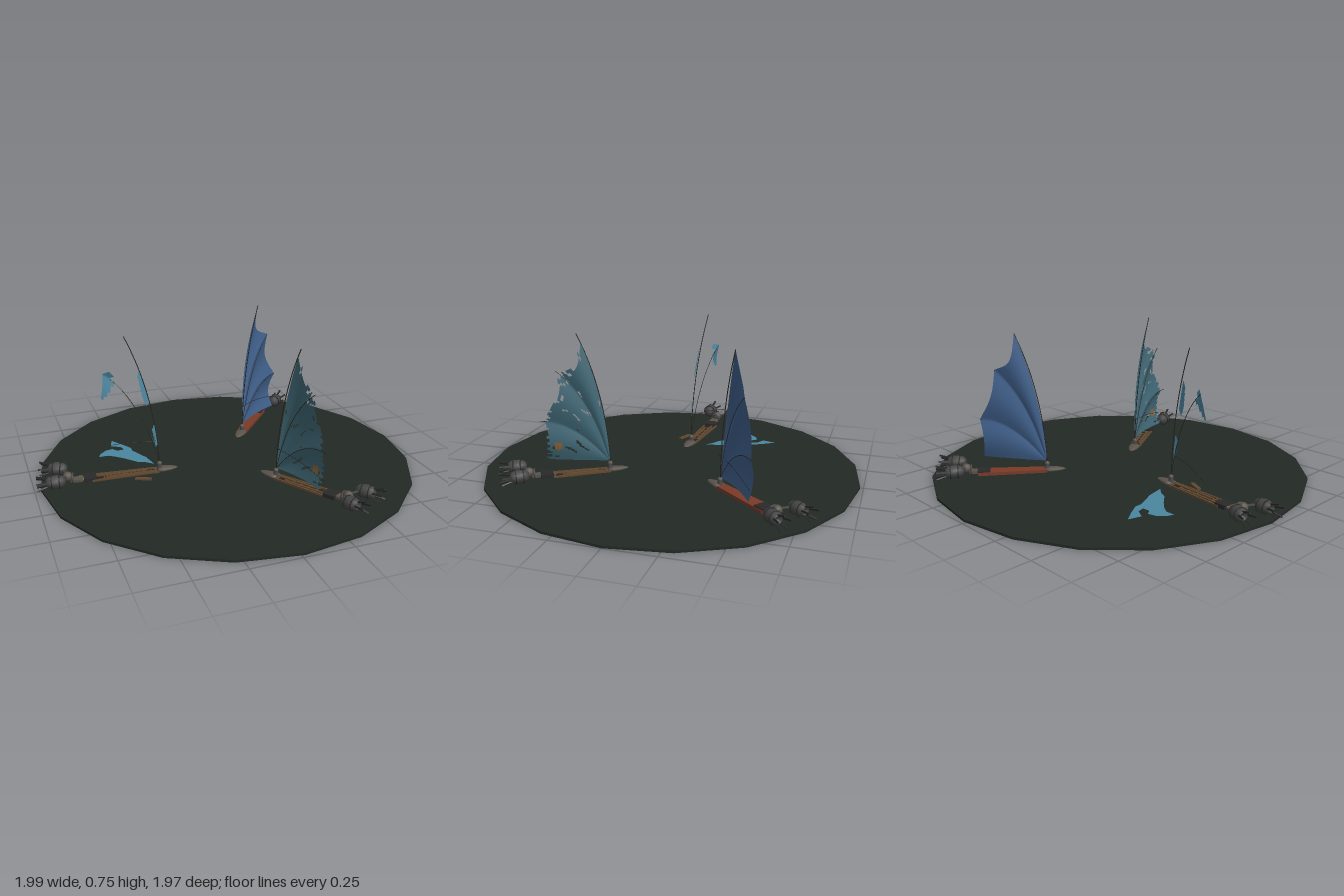
import * as THREE from 'three';
import { mergeVertices } from 'three/addons/utils/BufferGeometryUtils.js';

const mat = (color, opts = {}) => new THREE.MeshStandardMaterial({ color, ...opts });
const M = {
  ground: mat(0x222a24, { flatShading: true }), metal: mat(0x454545), dark: mat(0x2a2a2a),
  nose: mat(0x5a534b), red: mat(0x7a3a28), wood: mat(0x63492f), rope: mat(0x26221e),
  brass: mat(0x8a7a55), patch: mat(0x8a6238, { side: THREE.DoubleSide }),
};
const V = (x, y, z = 0) => new THREE.Vector3(x, y, z);

function add(parent, name, geo, material, x = 0, y = 0, z = 0) {
  const m = new THREE.Mesh(geo, material);
  m.name = name;
  m.position.set(x, y, z);
  parent.add(m);
  return m;
}
const tube = (pts, r) => new THREE.TubeGeometry(new THREE.CatmullRomCurve3(pts), 14, r, 5);
const lathe = (pts, n) => new THREE.LatheGeometry(pts.map(p => new THREE.Vector2(...p)), n).rotateZ(-Math.PI / 2);

// Ribs of the fan sail in its own plane: luff, two battens, foot
const RIBS = [
  [[0, 0.05], [0.012, 0.44], [0.158, 0.745]],
  [[0, 0.06], [0.085, 0.416], [0.27, 0.55]],
  [[0, 0.065], [0.18, 0.3], [0.36, 0.28]],
  [[0.01, 0.07], [0.17, 0.08], [0.345, 0.075]],
].map(r => new THREE.QuadraticBezierCurve3(...r.map(p => V(...p))));
const SCALLOP = [0.1, 0.07, 0.05];

// Repeatable smooth noise for torn cloth
const noise = (a, b) => Math.sin(a * 17 + 3 * Math.sin(b * 11)) * Math.sin(b * 19 + 2 * Math.sin(a * 13 + 1));

// Point on a sail panel: s runs across from rib to rib, t runs outward
function sailPoint(panel, s, t) {
  const tt = t * (1 - SCALLOP[panel] * Math.sin(Math.PI * s));
  const p = RIBS[panel].getPoint(tt).lerp(RIBS[panel + 1].getPoint(tt), s);
  p.z = -0.025 * Math.sin(Math.PI * s) * t - 0.012 * Math.sin(Math.PI * t);
  return p;
}

// Cloth built cell by cell; keep() decides which cells remain
function sailGeometry(keep, n = 26) {
  const pos = [];
  for (let panel = 0; panel < 3; panel++)
    for (let i = 0; i < n; i++)
      for (let j = 0; j < n; j++) {
        const c = sailPoint(panel, (i + 0.5) / n, (j + 0.5) / n);
        if (!keep(panel, (i + 0.5) / n, (j + 0.5) / n, c)) continue;
        const [a, b, d, e] = [[i, j], [i + 1, j], [i + 1, j + 1], [i, j + 1]]
          .map(([u, v]) => sailPoint(panel, u / n, v / n));
        for (const p of [a, b, d, a, d, e]) pos.push(p.x, p.y, p.z);
      }
  const geo = new THREE.BufferGeometry();
  geo.setAttribute('position', new THREE.Float32BufferAttribute(pos, 3));
  const merged = mergeVertices(geo, 1e-5);
  merged.computeVertexNormals();
  return merged;
}

const inPatch = c => Math.hypot(c.x - 0.265, c.y - 0.155) < 0.023;
const torn = (p, s, t, c) => t < 0.97 - 0.045 * (1 + noise(c.x * 5, c.y * 5))
  && !(t > 0.3 && noise(c.x * 2.2 + 0.3, c.y * 2.4) > 0.87);
const scraps = (p, s, t) =>
  (p === 0 && t > 0.5 && t < 0.72 && s < 0.28 - Math.abs(t - 0.58)) ||
  (p === 0 && t > 0.15 && t < 0.32 && s < 0.5 + 0.3 * noise(t * 4, s)) ||
  (p === 1 && t > 0.84 + 0.3 * s && s < 0.42) || (p === 0 && t > 0.93 && s > 0.85);

function createRig(keep, color, patched) {
  const rig = new THREE.Group();
  rig.name = 'rig';
  RIBS.slice(0, 3).forEach((r, i) => {
    if (i === 2 && keep === scraps) return;
    add(rig, i ? 'batten' : 'mast', tube(r.getPoints(8), i ? 0.0016 : 0.0024), M.rope);
  });
  add(rig, 'boomLine', tube([V(0, 0.18), V(0.17, 0.172), V(0.36, 0.135)], 0.0013), M.rope);
  const bar = add(rig, 'mastBar', new THREE.CylinderGeometry(0.003, 0.003, 0.035, 6), M.dark, 0.003, 0.18);
  bar.rotation.z = Math.PI / 2;
  const cloth = mat(color, { side: THREE.DoubleSide });
  add(rig, 'sail', sailGeometry((p, s, t, c) => keep(p, s, t, c) && !(patched && inPatch(c))), cloth);
  if (patched) add(rig, 'sailPatch', sailGeometry((p, s, t, c) => inPatch(c)), M.patch);
  return rig;
}

function createEngine() {
  const e = new THREE.Group();
  e.name = 'engine';
  add(e, 'engineBody', lathe([[0, -0.05], [0.016, -0.048], [0.028, -0.035], [0.034, -0.01], [0.034, 0.02],
    [0.027, 0.036], [0.021, 0.046], [0.017, 0.042], [0, 0.03]], 12), M.metal);
  for (const x of [-0.018, 0.02])
    add(e, 'engineBand', new THREE.TorusGeometry(0.034, 0.003, 5, 14).rotateY(Math.PI / 2), M.dark, x);
  // Splayed prongs around the exhaust
  for (let i = 0; i < 5; i++) {
    const arm = new THREE.Group();
    arm.rotation.x = i * Math.PI * 2 / 5;
    const fin = add(arm, 'exhaustProng', new THREE.BoxGeometry(0.06, 0.007, 0.009), M.dark, 0.062, 0.028);
    fin.rotation.z = 0.28;
    e.add(arm);
  }
  return e;
}

function createTail() {
  const tail = new THREE.Group();
  tail.name = 'tail';
  add(tail, 'hub', new THREE.SphereGeometry(0.025, 12, 8), M.nose, 0, 0.045);
  add(tail, 'hubRing', new THREE.TorusGeometry(0.025, 0.005, 6, 14).rotateY(Math.PI / 2), M.metal, -0.025, 0.035);
  add(tail, 'neck', new THREE.BoxGeometry(0.06, 0.014, 0.042), M.nose, -0.045, 0.026);
  for (const side of [-1, 1]) {
    add(tail, 'engineArm', tube([V(-0.005, 0.045), V(0.018, 0.055, side * 0.035), V(0.04, 0.055, side * 0.07)], 0.007), M.metal);
    const e = createEngine();
    e.position.set(0.055, 0.055, side * 0.076);
    e.rotation.y = -side * 0.12;
    tail.add(e);
  }
  return tail;
}

// Flat tapered plan between two stations along the hull
function taper(x0, x1, w0, w1, h) {
  const s = new THREE.Shape([[x0, -w0], [x1, -w1], [x1, w1], [x0, w0]].map(p => new THREE.Vector2(...p)));
  return new THREE.ExtrudeGeometry(s, { depth: h, bevelEnabled: false }).rotateX(-Math.PI / 2);
}

function createBoat({ name, x, z, azimuth, wrecked, stretch = 0, tailTurn = 0, keep, color, patched }) {
  const boat = new THREE.Group();
  boat.name = name;
  boat.position.set(x, 0, z);
  boat.rotation.y = -azimuth * Math.PI / 180;
  // Pointed nose and mast foot
  const nose = add(boat, 'nose', lathe([[0, -0.098], [0.013, -0.085], [0.025, -0.055], [0.031, -0.015], [0.027, 0.01], [0, 0.012]], 12), M.nose, 0, 0.024);
  nose.scale.y = 0.42;
  add(boat, 'mastSocket', new THREE.CylinderGeometry(0.011, 0.015, 0.022, 10), M.metal, 0, 0.04);
  add(boat, 'mastBall', new THREE.SphereGeometry(0.013, 10, 8), M.nose, 0, 0.056);
  const end = 0.3 + stretch;
  if (!wrecked) {
    add(boat, 'hull', taper(0, 0.36, 0.026, 0.041, 0.016), M.red, 0, 0.013);
  } else {
    // Bare frame: long stringers, cross ribs and remaining planks
    add(boat, 'keel', taper(0, end, 0.013, 0.016, 0.008), M.rope, 0, 0.012);
    for (const side of [-1, 1]) {
      const rail = add(boat, 'stringer', new THREE.BoxGeometry(end, 0.01, 0.008), M.wood, end / 2, 0.02, side * 0.029);
      rail.rotation.y = -side * 0.035;
      add(boat, 'plank', new THREE.BoxGeometry(end * 0.75, 0.007, 0.011), M.wood, end * (0.5 + side * 0.08), 0.022, side * 0.012);
    }
    for (let i = 0; i < 7; i++)
      add(boat, 'rib', new THREE.BoxGeometry(0.008, 0.008, 0.056 + i * 0.003), i % 3 ? M.wood : M.nose, 0.02 + i * (end - 0.03) / 6, 0.018);
  }
  add(boat, 'hullBox', new THREE.BoxGeometry(0.065, 0.022, 0.07), M.dark, 0.33 + stretch * 0.6, 0.024);
  const tail = createTail();
  tail.position.x = 0.42 + stretch;
  tail.rotation.y = -tailTurn;
  boat.add(tail);
  if (stretch) {
    // Snapped links and loose plank
    for (const side of [-1, 0, 1])
      add(boat, 'snappedLink', new THREE.BoxGeometry(0.03, 0.008, 0.009), M.brass, 0.4 + side * 0.01, 0.026, side * 0.018);
    const loose = add(boat, 'loosePlank', new THREE.BoxGeometry(0.085, 0.008, 0.02), M.wood, 0.1, 0.016, -0.075);
    loose.rotation.y = -0.35;
  }
  const rig = createRig(keep, color, patched);
  rig.rotation.y = -16 * Math.PI / 180;
  boat.add(rig);
  return boat;
}

export function createModel() {
  const model = new THREE.Group();
  model.name = 'sailCraftDisplay';
  add(model, 'ground', new THREE.CylinderGeometry(0.984, 0.984, 0.012, 20), M.ground, 0.015, 0.006);
  model.add(
    createBoat({ name: 'intactBoat', x: 0.235, z: -0.32, azimuth: -52, keep: () => true, color: 0x3f5f8a }),
    createBoat({ name: 'wornBoat', x: 0.185, z: 0.285, azimuth: 58, wrecked: true, keep: torn, color: 0x3f6775, patched: true }),
    createBoat({ name: 'wreckedBoat', x: -0.355, z: 0, azimuth: 184, wrecked: true, stretch: 0.055, tailTurn: 0.15, keep: scraps, color: 0x4a86a0 }),
  );
  // Fallen piece of sail on the ground
  const outline = [[-0.36, -0.085], [-0.38, -0.18], [-0.43, -0.29], [-0.43, -0.33], [-0.47, -0.4], [-0.51, -0.46],
    [-0.53, -0.39], [-0.48, -0.36], [-0.47, -0.32], [-0.51, -0.32], [-0.53, -0.35], [-0.57, -0.34], [-0.61, -0.3],
    [-0.62, -0.27], [-0.57, -0.27], [-0.53, -0.24], [-0.49, -0.2], [-0.44, -0.14], [-0.4, -0.12]];
  const cloth = new THREE.ShapeGeometry(new THREE.Shape(outline.map(([x, z]) => new THREE.Vector2(x, -z)))).rotateX(-Math.PI / 2);
  add(model, 'fallenSail', cloth, mat(0x4a86a0, { side: THREE.DoubleSide }), 0, 0.016);
  return model;
}
